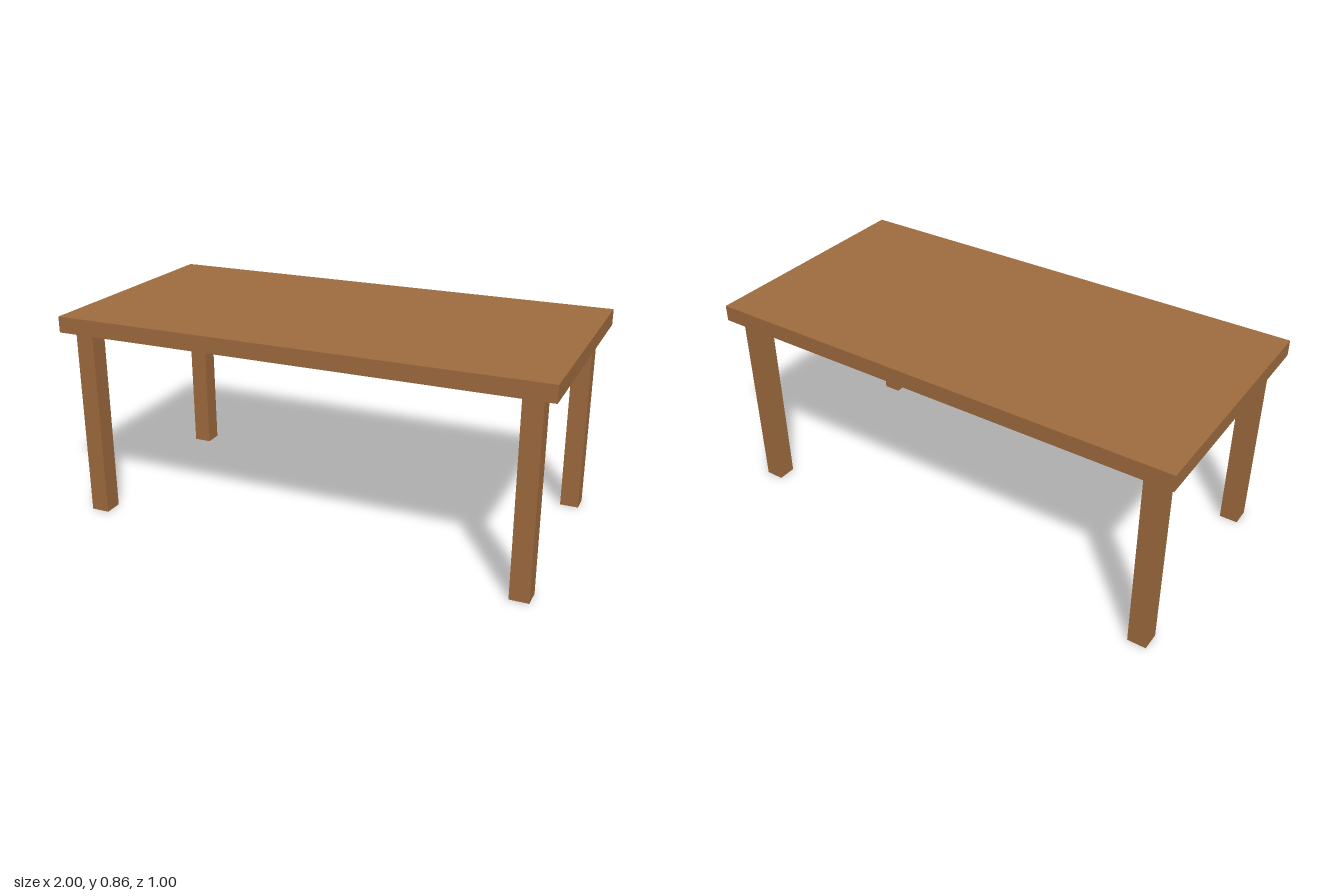
import * as THREE from 'three';

const wood = new THREE.MeshStandardMaterial({ color: 0xa06c3f });
const darkWood = new THREE.MeshStandardMaterial({ color: 0x7a4e2d });

// Box given by its size, centre in x and z, and height of its underside
function addBox(parent, name, [w, h, d], [x, bottom, z], material) {
  const mesh = new THREE.Mesh(new THREE.BoxGeometry(w, h, d), material);
  mesh.name = name;
  mesh.position.set(x, bottom + h / 2, z);
  parent.add(mesh);
}

export function createModel() {
  const table = new THREE.Group();
  table.name = 'table';
  const legHeight = 0.79;

  // Table top
  addBox(table, 'tableTop', [2, 0.066, 1], [0, legHeight, 0], wood);

  // Four square legs, set in from the corners
  for (const [side, sx] of [['Left', 1], ['Right', -1]]) {
    for (const [end, sz] of [['front', 1], ['back', -1]]) {
      addBox(table, `${end}${side}Leg`, [0.077, legHeight, 0.077], [sx * 0.911, 0, sz * 0.423], wood);
    }
  }

  // Free-floating centre beam below the top
  addBox(table, 'centreBeam', [1.67, 0.055, 0.066], [0, 0.64, 0], darkWood);

  return table;
}
